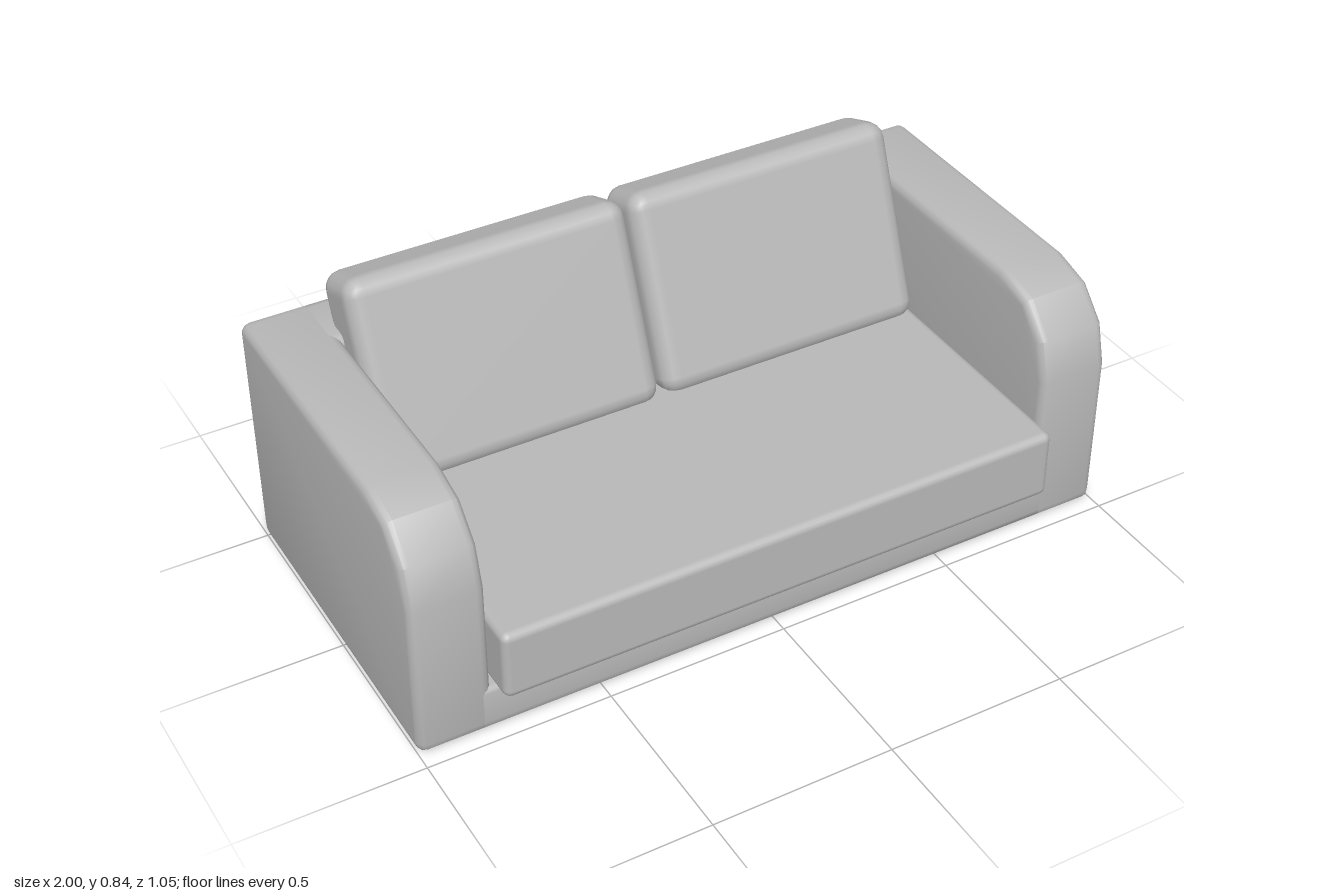
import * as THREE from 'three';
import { toCreasedNormals } from 'three/addons/utils/BufferGeometryUtils.js';
import { RoundedBoxGeometry } from 'three/addons/geometries/RoundedBoxGeometry.js';

// Closed outline from [z, y, cornerRadius] points
function outline(points) {
  const shape = new THREE.Shape();
  const n = points.length;
  points.forEach(([z, y, r], i) => {
    const p = new THREE.Vector2(z, y);
    const toward = ([a, b]) => new THREE.Vector2(a, b).sub(p).normalize().multiplyScalar(r).add(p);
    const from = toward(points[(i + n - 1) % n]);
    const to = toward(points[(i + 1) % n]);
    if (i === 0) shape.moveTo(from.x, from.y);
    else shape.lineTo(from.x, from.y);
    if (r > 0) shape.quadraticCurveTo(z, y, to.x, to.y);
  });
  shape.closePath();
  return shape;
}

// Extrude a side outline across the sofa, centred on x = 0
function extrudeAcross(points, width, bevel) {
  const geometry = new THREE.ExtrudeGeometry(outline(points), {
    depth: width - 2 * bevel,
    curveSegments: 3,
    bevelEnabled: bevel > 0,
    bevelSize: bevel,
    bevelThickness: bevel,
    bevelOffset: -bevel,
    bevelSegments: 3,
  });
  geometry.translate(0, 0, -(width - 2 * bevel) / 2);
  geometry.rotateY(-Math.PI / 2);
  return toCreasedNormals(geometry, 0.6);
}

export function createModel() {
  const model = new THREE.Group();
  model.name = 'sofa';
  const fabric = new THREE.MeshStandardMaterial({ color: 0xb8b8b8 });
  fabric.name = 'grey fabric';

  const add = (name, geometry, x = 0, y = 0, z = 0) => {
    const mesh = new THREE.Mesh(geometry, fabric);
    mesh.name = name;
    mesh.position.set(x, y, z);
    model.add(mesh);
    return mesh;
  };

  // Base and backrest as one L-shaped section, its ends sunk into the arms
  add('baseAndBack', extrudeAcross([
    [-0.525, 0, 0.03], [0.46, 0, 0.03], [0.46, 0.135, 0.015],
    [-0.33, 0.135, 0], [-0.33, 0.68, 0.03], [-0.525, 0.68, 0.03],
  ], 1.65, 0));

  // Arms with a faceted curve at the front top
  const arm = extrudeAcross([
    [-0.525, 0, 0.03], [0.46, 0, 0.03], [0.46, 0.45, 0], [0.43, 0.565, 0],
    [0.35, 0.65, 0], [0.235, 0.68, 0], [-0.525, 0.68, 0.03],
  ], 0.2, 0.025);
  add('leftArm', arm, 0.9);
  add('rightArm', arm, -0.9);

  // Seat cushion
  add('seatCushion', new RoundedBoxGeometry(1.59, 0.2, 0.865, 2, 0.022), 0, 0.24, 0.0925);

  // Two leaning back cushions
  const cushion = new RoundedBoxGeometry(0.79, 0.56, 0.195, 2, 0.05);
  for (const [name, side] of [['leftBackCushion', 1], ['rightBackCushion', -1]]) {
    add(name, cushion, side * 0.4, 0.563, -0.29).rotation.x = -0.368;
  }

  return model;
}
